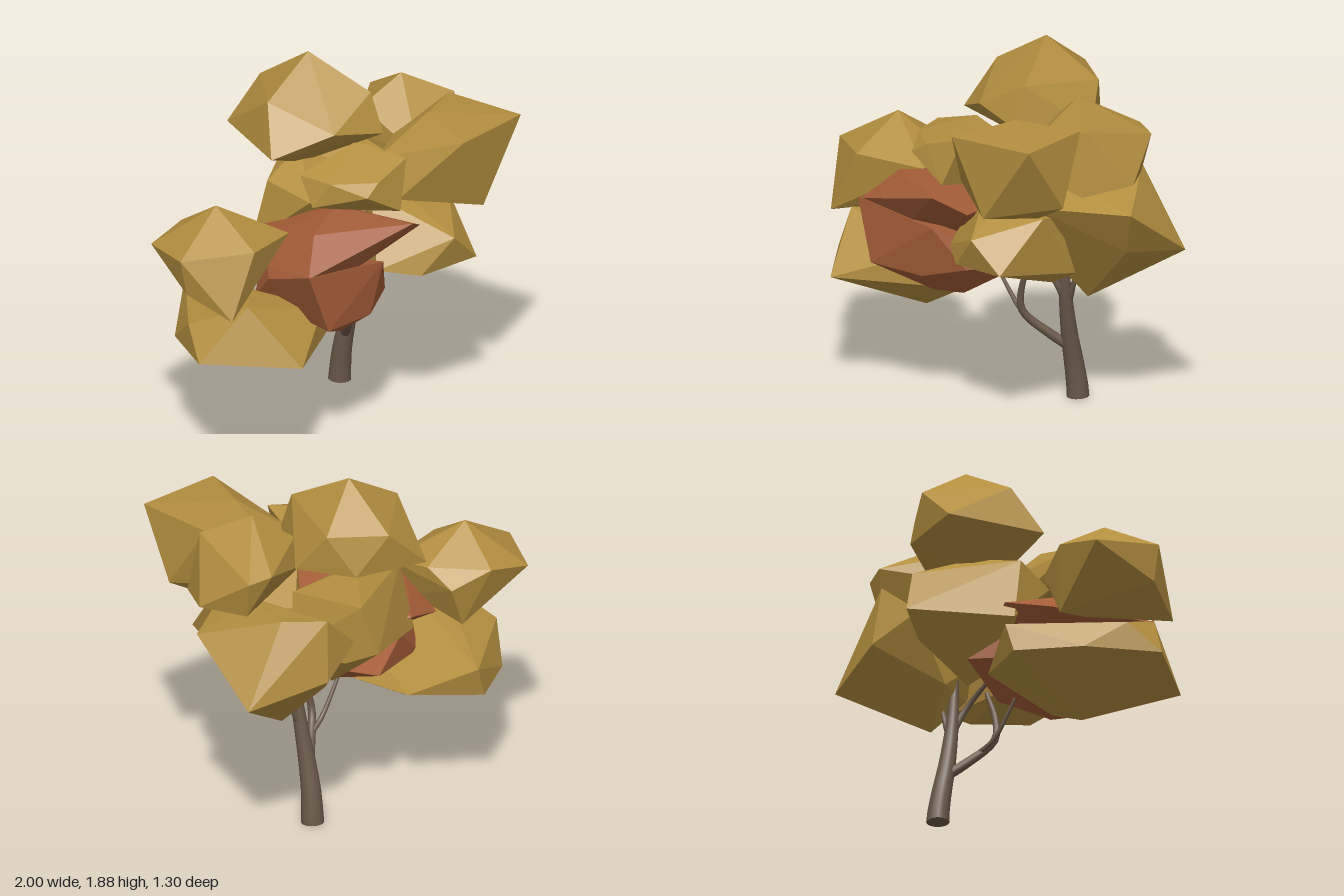
import * as THREE from 'three';
import { mergeVertices } from 'three/addons/utils/BufferGeometryUtils.js';
import { ConvexGeometry } from 'three/addons/geometries/ConvexGeometry.js';

const foliage = new THREE.MeshStandardMaterial({ color: 0xb38e3f });
foliage.name = 'goldenLeaves';
const rust = new THREE.MeshStandardMaterial({ color: 0xa35c37 });
rust.name = 'rustLeaves';
const bark = new THREE.MeshStandardMaterial({ color: 0x6b594a });
bark.name = 'bark';

// Faceted leaf clump: an upright icosahedron fitted to a box, with some
// corners pulled to given points (each takes its nearest free corner),
// then wrapped in a convex hull.
function clump(name, material, min, max, spin, pulls) {
  let g = new THREE.IcosahedronGeometry(1, 0);
  g.deleteAttribute('normal');
  g.deleteAttribute('uv');
  g = mergeVertices(g, 1e-3);
  g.rotateZ(-Math.atan(2 / (1 + Math.sqrt(5))));
  g.rotateY(spin);
  g.computeBoundingBox();
  const from = g.boundingBox;
  const size = from.getSize(new THREE.Vector3());
  const lo = new THREE.Vector3(...min);
  const span = new THREE.Vector3(...max).sub(lo);
  const pos = g.attributes.position;
  const corners = [];
  for (let i = 0; i < pos.count; i++) {
    corners.push(new THREE.Vector3().fromBufferAttribute(pos, i)
      .sub(from.min).divide(size).multiply(span).add(lo));
  }
  const free = new Set(corners);
  for (const p of pulls) {
    const target = new THREE.Vector3(...p);
    let best = null;
    for (const c of free) {
      if (!best || c.distanceTo(target) < best.distanceTo(target)) best = c;
    }
    free.delete(best);
    best.copy(target);
  }
  const mesh = new THREE.Mesh(new ConvexGeometry(corners), material);
  mesh.name = name;
  return mesh;
}

// Tapered limb swept along a smooth curve
function limb(name, points, r0, r1, sides = 12) {
  const curve = new THREE.CatmullRomCurve3(points.map((p) => new THREE.Vector3(...p)));
  const steps = 16;
  const g = new THREE.TubeGeometry(curve, steps, 1, sides, false);
  const pos = g.attributes.position;
  const v = new THREE.Vector3();
  for (let i = 0; i < pos.count; i++) {
    const t = Math.floor(i / (sides + 1)) / steps;
    const c = curve.getPointAt(t);
    v.fromBufferAttribute(pos, i).sub(c).multiplyScalar(r0 + (r1 - r0) * t).add(c);
    pos.setXYZ(i, v.x, v.y, v.z);
  }
  const mesh = new THREE.Mesh(g, bark);
  mesh.name = name;
  return mesh;
}

export function createModel() {
  const tree = new THREE.Group();
  tree.name = 'tree';

  // Trunk with a closed foot
  tree.add(limb('trunk', [[0.43, 0.004, -0.26], [0.43, 0.04, -0.258], [0.423, 0.17, -0.24],
    [0.42, 0.35, -0.2], [0.43, 0.6, -0.15], [0.44, 0.85, -0.12]], 0.059, 0.022, 16));
  const foot = new THREE.Mesh(new THREE.CircleGeometry(0.059, 32), bark);
  foot.name = 'trunkFoot';
  foot.rotation.x = Math.PI / 2;
  foot.position.set(0.43, 0.006, -0.26);
  tree.add(foot);

  // Branches
  const branches = [
    [[[0.41, 0.28, -0.21], [0.34, 0.35, -0.14], [0.24, 0.48, -0.04], [0.25, 0.6, -0.02], [0.32, 0.78, -0.01]], 0.028, 0.012],
    [[[0.3, 0.4, -0.1], [0.21, 0.46, -0.08], [0.13, 0.57, -0.07], [0.05, 0.7, -0.06]], 0.015, 0.008],
    [[[0.43, 0.5, -0.17], [0.41, 0.62, -0.12], [0.36, 0.71, -0.09], [0.25, 0.8, -0.08]], 0.022, 0.011],
    [[[0.43, 0.52, -0.17], [0.46, 0.58, -0.16], [0.5, 0.7, -0.15]], 0.02, 0.01],
  ];
  branches.forEach(([pts, a, b], i) => tree.add(limb(`branch${i + 1}`, pts, a, b)));

  // Golden crown
  tree.add(
    clump('topClump', foliage, [-0.2, 1.3, -0.62], [0.48, 1.86, 0.08], 0.2,
      [[0.21, 1.88, -0.29], [0, 1.47, -0.65], [0.53, 1.45, -0.24], [0.31, 1.5, 0.12],
        [-0.23, 1.45, -0.18], [-0.11, 1.7, -0.3], [0.22, 1.67, -0.61], [0.46, 1.66, -0.4],
        [0.02, 1.56, 0.03]]),
    clump('frontUpperClump', foliage, [0.16, 1.14, 0.1], [0.8, 1.58, 0.6], 0.5,
      [[0.3, 1.59, 0.65], [0.78, 1.585, 0.64], [0.59, 1.12, 0.3], [0.14, 1.25, 0.35],
        [0.82, 1.24, 0.4], [0.485, 1.18, 0.63], [0.45, 1.62, 0.3], [0.77, 1.59, 0.18],
        [0.18, 1.42, 0.18]]),
    clump('sideUpperClump', foliage, [0.42, 1.22, -0.28], [0.88, 1.68, 0.22], 0.3,
      [[0.62, 1.7, -0.01], [0.66, 1.2, 0], [0.97, 1.29, 0], [0.77, 1.51, -0.33],
        [0.41, 1.38, 0.27], [0.8, 1.59, 0.19], [0.88, 1.48, -0.28], [0.85, 1.28, -0.23],
        [0.83, 1.26, 0.25], [0.42, 1.4, -0.15]]),
    clump('sideLowerClump', foliage, [0.4, 0.76, -0.5], [0.9, 1.24, 0.05], 0.1,
      [[1, 0.85, -0.41], [0.97, 1.13, 0.02], [0.56, 0.58, -0.17], [0.57, 1.27, -0.53],
        [0.55, 1.16, 0.28], [0.5, 0.8, 0.03], [0.6, 0.95, -0.57], [0.75, 1.27, -0.38],
        [0.36, 1.08, -0.5], [0.36, 0.75, -0.28], [0.62, 1.23, 0]]),
    clump('frontLowerClump', foliage, [0.08, 0.78, 0], [0.6, 1.2, 0.42], 0.4,
      [[0.65, 0.78, 0.06], [0.62, 1.12, 0.3], [0.17, 1.22, 0.15], [0.03, 0.88, 0.3],
        [0.56, 0.73, 0.13], [0.35, 1.02, 0.55], [0.19, 0.84, 0.46], [0.53, 0.86, 0.55],
        [0.2, 0.8, 0.05]]),
    clump('frontSmallClump', foliage, [-0.23, 1.2, 0], [0.22, 1.5, 0.38], 0.7,
      [[0.07, 1.53, 0.12], [-0.25, 1.43, 0.02], [-0.27, 1.28, 0.12], [0.17, 1.48, 0.38],
        [0.07, 1.23, 0.42], [-0.15, 1.36, 0.38], [0.14, 1.2, 0.2], [0.25, 1.4, 0.04]]),
    clump('backClump', foliage, [-0.08, 0.8, -0.52], [0.48, 1.34, 0.02], 0.25,
      [[0.16, 1.38, -0.3], [0.31, 1.04, -0.63], [-0.18, 0.94, -0.35], [-0.15, 1.29, -0.27],
        [0.35, 1.28, -0.54], [-0.12, 1.22, -0.02], [0.26, 0.73, -0.22], [0.06, 0.8, -0.25]]),
    clump('farUpperClump', foliage, [-0.96, 0.83, -0.44], [-0.38, 1.3, 0.06], 0.15,
      [[-0.66, 1.34, -0.2], [-1, 1.15, -0.16], [-0.88, 0.84, 0.08], [-0.85, 1.12, -0.47],
        [-0.6, 1.17, -0.47], [-0.34, 1.14, 0.02], [-0.71, 1.17, 0.09], [-0.41, 1.08, -0.38],
        [-0.5, 0.86, -0.36]]),
    clump('farLowerClump', foliage, [-0.85, 0.48, -0.5], [-0.12, 0.84, 0.25], 0.35,
      [[-0.95, 0.59, -0.08], [-0.67, 0.59, 0.37], [-0.37, 0.4, -0.05], [-0.37, 0.74, -0.63],
        [-0.75, 0.88, 0.08], [-0.42, 0.58, -0.62], [-0.07, 0.62, -0.43], [-0.05, 0.57, 0.08]]),
  );

  // Rust coloured heart of the crown
  tree.add(
    clump('rustUpperClump', rust, [-0.36, 0.8, -0.32], [0.2, 1.2, 0.42], 0.2,
      [[-0.36, 1.18, 0.2], [-0.14, 1.02, -0.38], [0.07, 1.18, 0.5], [0.23, 1.1, 0.42],
        [-0.38, 0.95, -0.3], [-0.06, 1.22, 0.1], [-0.18, 0.98, 0.34], [-0.53, 1.02, 0.3]]),
    clump('rustLowerClump', rust, [-0.42, 0.62, -0.3], [0.24, 1, 0.32], 0.45,
      [[-0.54, 1.03, 0.31], [-0.43, 0.71, 0.35], [-0.14, 0.58, 0.2], [-0.04, 0.55, 0.08],
        [0.3, 0.75, 0.05], [-0.02, 0.97, 0.38], [-0.1, 0.7, 0.36], [0.1, 0.77, -0.4],
        [0.12, 0.75, 0.28]]),
  );
  return tree;
}
